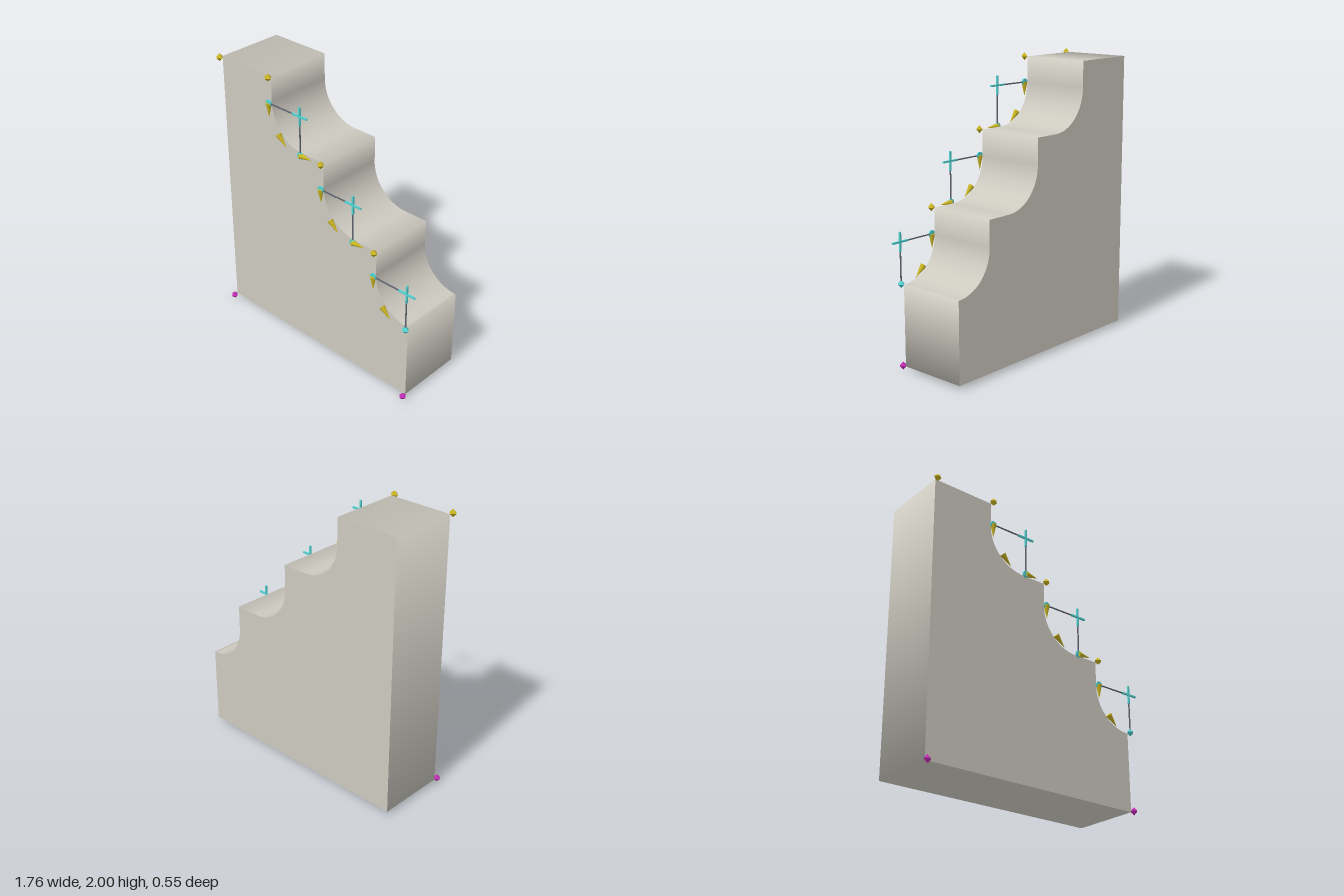
import * as THREE from 'three';

const mat = (name, color) => Object.assign(new THREE.MeshStandardMaterial({ color }), { name });

export function createModel() {
  const stone = mat('warm grey', 0xccc9bf);
  const yellow = mat('mustard', 0xcab422);
  const teal = mat('teal', 0x54d2d2);
  const purple = mat('purple', 0xc42cb6);
  const dark = mat('dark slate', 0x5c626d);

  const model = new THREE.Group();
  const LEFT = -0.851, RIGHT = 0.813, BASE = 0.03, TOP = 1.975;
  const FRONT = 0.22, BACK = -0.275, MARK = 0.247;
  const STEP = 0.461, R = 0.281;

  const add = (name, geometry, material, x = 0, y = 0, z = 0) => {
    const mesh = new THREE.Mesh(geometry, material);
    mesh.name = name;
    mesh.position.set(x, y, z);
    model.add(mesh);
    return mesh;
  };

  // Centres of the three cove arcs, from the lowest step to the highest
  const centres = [0, 1, 2].map(i => new THREE.Vector2(RIGHT - i * STEP, 0.871 + i * STEP));

  // Counter-clockwise stepped profile with a quarter-round cove in each step
  const profile = [new THREE.Vector2(LEFT, BASE), new THREE.Vector2(RIGHT, BASE)];
  const SEG = 20;
  for (const c of centres) {
    for (let j = 0; j <= SEG; j++) {
      const a = Math.PI * (1.5 - 0.5 * j / SEG);
      profile.push(new THREE.Vector2(c.x + R * Math.cos(a), c.y + R * Math.sin(a)));
    }
    profile.push(new THREE.Vector2(c.x - R, c.y - R + STEP));
  }
  profile.push(new THREE.Vector2(LEFT, TOP));

  // Flat front and back faces
  add('frontFace', new THREE.ShapeGeometry(new THREE.Shape(profile)), stone, 0, 0, FRONT);
  const mirrored = new THREE.Shape(profile.map(p => new THREE.Vector2(-p.x, p.y)).reverse());
  add('backFace', new THREE.ShapeGeometry(mirrored), stone, 0, 0, BACK).rotation.y = Math.PI;

  // Rim wall: one strip, its normals averaged from the two edges at each point
  const positions = [], normals = [], index = [], n = profile.length;
  profile.forEach((p, i) => {
    const before = p.clone().sub(profile[(i + n - 1) % n]).normalize();
    const after = profile[(i + 1) % n].clone().sub(p).normalize();
    const t = before.add(after).normalize();
    positions.push(p.x, p.y, FRONT, p.x, p.y, BACK);
    normals.push(t.y, -t.x, 0, t.y, -t.x, 0);
    const a = 2 * i, b = 2 * ((i + 1) % n);
    index.push(a, a + 1, b, b, a + 1, b + 1);
  });
  const wall = new THREE.BufferGeometry();
  wall.setAttribute('position', new THREE.Float32BufferAttribute(positions, 3));
  wall.setAttribute('normal', new THREE.Float32BufferAttribute(normals, 3));
  wall.setIndex(index);
  add('steppedWall', wall, stone);

  // Marker shapes
  const diamondGeo = new THREE.OctahedronGeometry(0.028);
  const discGeo = new THREE.CylinderGeometry(0.024, 0.024, 0.012, 20).rotateX(Math.PI / 2);
  const LEN = 0.1;
  const coneGeo = new THREE.ConeGeometry(0.021, LEN, 12).translate(0, LEN / 2, 0);
  const barGeo = new THREE.BoxGeometry(0.132, 0.012, 0.012);
  const rodGeo = new THREE.CylinderGeometry(0.005, 0.005, R, 8);

  const diamond = (name, m, x, y) => add(name, diamondGeo, m, x, y, MARK);
  const arrow = (c, angle) => {
    // Arrow starts on the arc and points along its downward tangent
    const cone = add('directionArrow', coneGeo, yellow,
      c.x + R * Math.cos(angle), c.y + R * Math.sin(angle), MARK);
    cone.rotation.z = angle;
  };

  // Corner diamonds
  diamond('baseCorner', purple, LEFT, BASE);
  diamond('baseCorner', purple, RIGHT, BASE);
  diamond('topCorner', yellow, LEFT, TOP);

  // Per step: edge diamond, arc centre cross, radius rods, end discs, arrows
  centres.forEach((c, i) => {
    diamond('stepCorner', yellow, c.x - R, c.y - R + STEP);

    add('centreCrossBar', barGeo, teal, c.x, c.y, MARK);
    add('centreCrossBar', barGeo, teal, c.x, c.y, MARK).rotation.z = Math.PI / 2;

    add('radiusRod', rodGeo, dark, c.x - R / 2, c.y, MARK).rotation.z = Math.PI / 2;
    add('radiusRod', rodGeo, dark, c.x, c.y - R / 2, MARK);

    add('arcStart', discGeo, teal, c.x - R, c.y, MARK);
    if (i === 0) diamond('arcEnd', teal, c.x, c.y - R);
    else add('arcEnd', discGeo, teal, c.x, c.y - R, MARK);

    arrow(c, Math.PI);
    arrow(c, Math.PI * 1.25);
    if (i > 0) arrow(c, Math.PI * 1.5);
  });

  return model;
}
